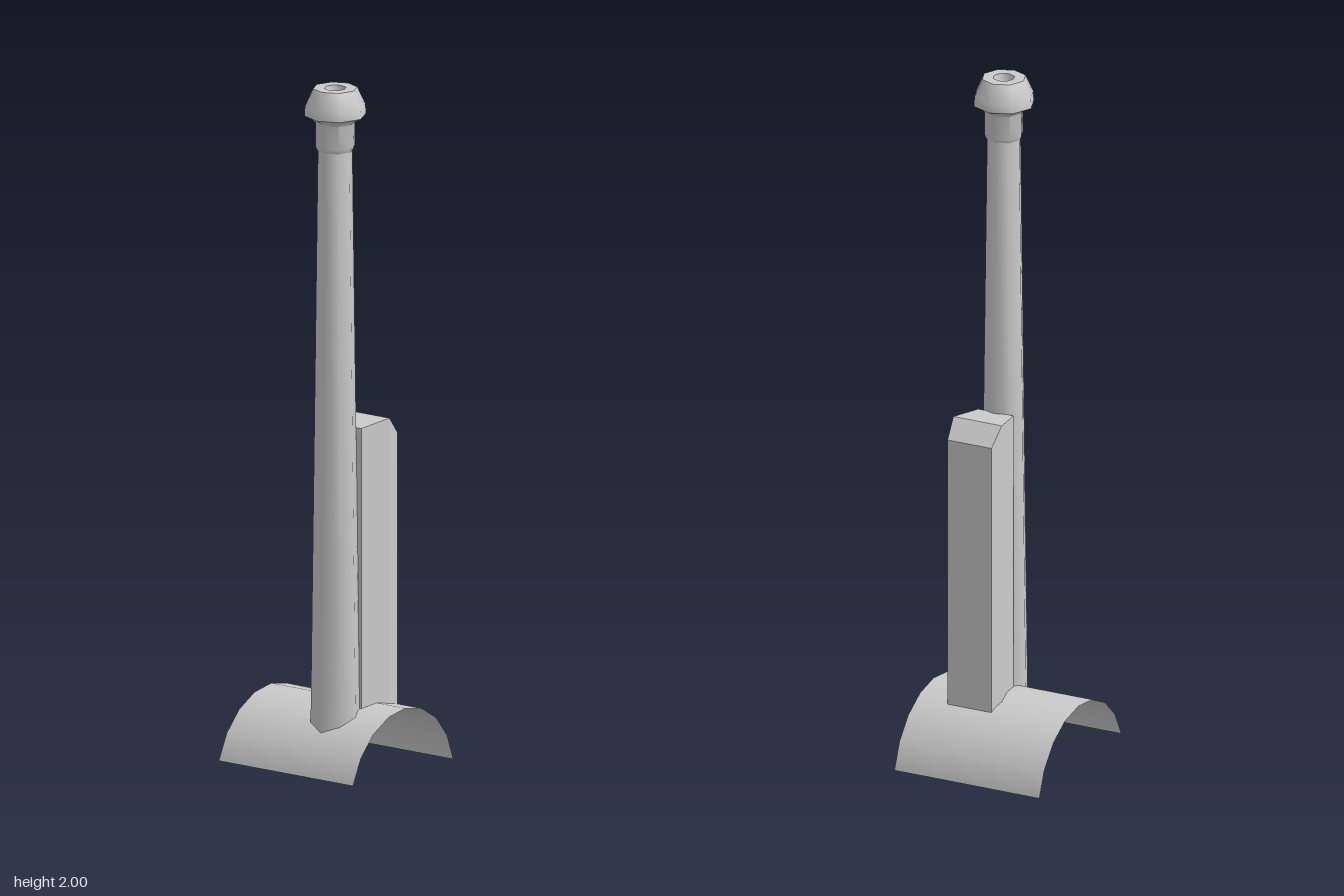
import * as THREE from 'three';
import { toCreasedNormals } from 'three/addons/utils/BufferGeometryUtils.js';

const SADDLE = { r: 0.252, y: -0.052, z: 0.002, width: 0.462 };
const PIPE = { x: 0.0635, z: 0.091 };

// Height of the curved saddle at a given z
const saddleY = (z) => SADDLE.y + Math.sqrt(SADDLE.r ** 2 - (z - SADDLE.z) ** 2);

function part(name, geometry, side = THREE.FrontSide) {
  const mesh = new THREE.Mesh(geometry, new THREE.MeshStandardMaterial({ color: 0xcccccc, side }));
  mesh.name = name;
  return mesh;
}

// Open curved sheet the pipe stands on, its front edge slightly higher than the back
function saddleGeometry() {
  const start = 0.331, end = Math.PI - 0.208;
  const g = new THREE.CylinderGeometry(SADDLE.r, SADDLE.r, SADDLE.width, 8, 1, true, start, end - start);
  g.rotateZ(Math.PI / 2);
  g.translate(0, SADDLE.y, SADDLE.z);
  return g;
}

// Eight-sided lathe from [radius, y] pairs, placed on the pipe axis
function turned(profile) {
  const g = new THREE.LatheGeometry(profile.map(([r, y]) => new THREE.Vector2(r, y)), 8);
  return g.translate(PIPE.x, 0, PIPE.z);
}

// Tapered shaft whose foot is cut to the saddle
function shaftGeometry() {
  const g = turned([[0.07, 0], [0.049, 1.822]]);
  const p = g.attributes.position;
  for (let i = 0; i < p.count; i++) {
    if (p.getY(i) < 0.5) p.setY(i, saddleY(p.getZ(i)) - 0.008);
  }
  g.computeVertexNormals();
  return toCreasedNormals(g, 0.9);
}

// Box lofted along z from [z, half width, bottom, top] sections
function loftBox(cx, sections) {
  const pos = [], index = [];
  for (const [z, w, y0, y1] of sections) {
    pos.push(cx - w, y0, z, cx + w, y0, z, cx + w, y1, z, cx - w, y1, z);
  }
  for (let s = 0; s < sections.length - 1; s++) {
    for (let k = 0; k < 4; k++) {
      const a = s * 4 + k, b = s * 4 + (k + 1) % 4;
      index.push(a, b, b + 4, a, b + 4, a + 4);
    }
  }
  const e = (sections.length - 1) * 4;
  index.push(0, 2, 1, 0, 3, 2, e, e + 1, e + 2, e, e + 2, e + 3);
  const g = new THREE.BufferGeometry();
  g.setAttribute('position', new THREE.Float32BufferAttribute(pos, 3));
  g.setIndex(index);
  const flat = g.toNonIndexed();
  flat.computeVertexNormals();
  return flat;
}

export function createModel() {
  const group = new THREE.Group();
  group.name = 'pipeOnSaddle';

  group.add(part('saddle', saddleGeometry(), THREE.DoubleSide));
  group.add(part('pipeShaft', shaftGeometry(), THREE.DoubleSide));

  // Collar, flared rim and recessed mouth
  group.add(part('pipeCap', toCreasedNormals(turned([
    [0.046, 1.82], [0.051, 1.82], [0.056, 1.832], [0.056, 1.9], [0.062, 1.908],
    [0.088, 1.922], [0.086, 1.95], [0.063, 2], [0.031, 2], [0.022, 1.965], [0, 1.96],
  ]), 0.9), THREE.DoubleSide));

  // Box behind the shaft, chamfered at its back top edge; sections run back to front
  const box = [
    [-0.11, 0.07, 0.965],
    [-0.062, 0.077, 1.018],
    [0.045, 0.056, 1.008],
  ].map(([z, w, top]) => [z, w, saddleY(z) - 0.004, top]);
  group.add(part('rearBox', loftBox(0.0645, box)));

  return group;
}
